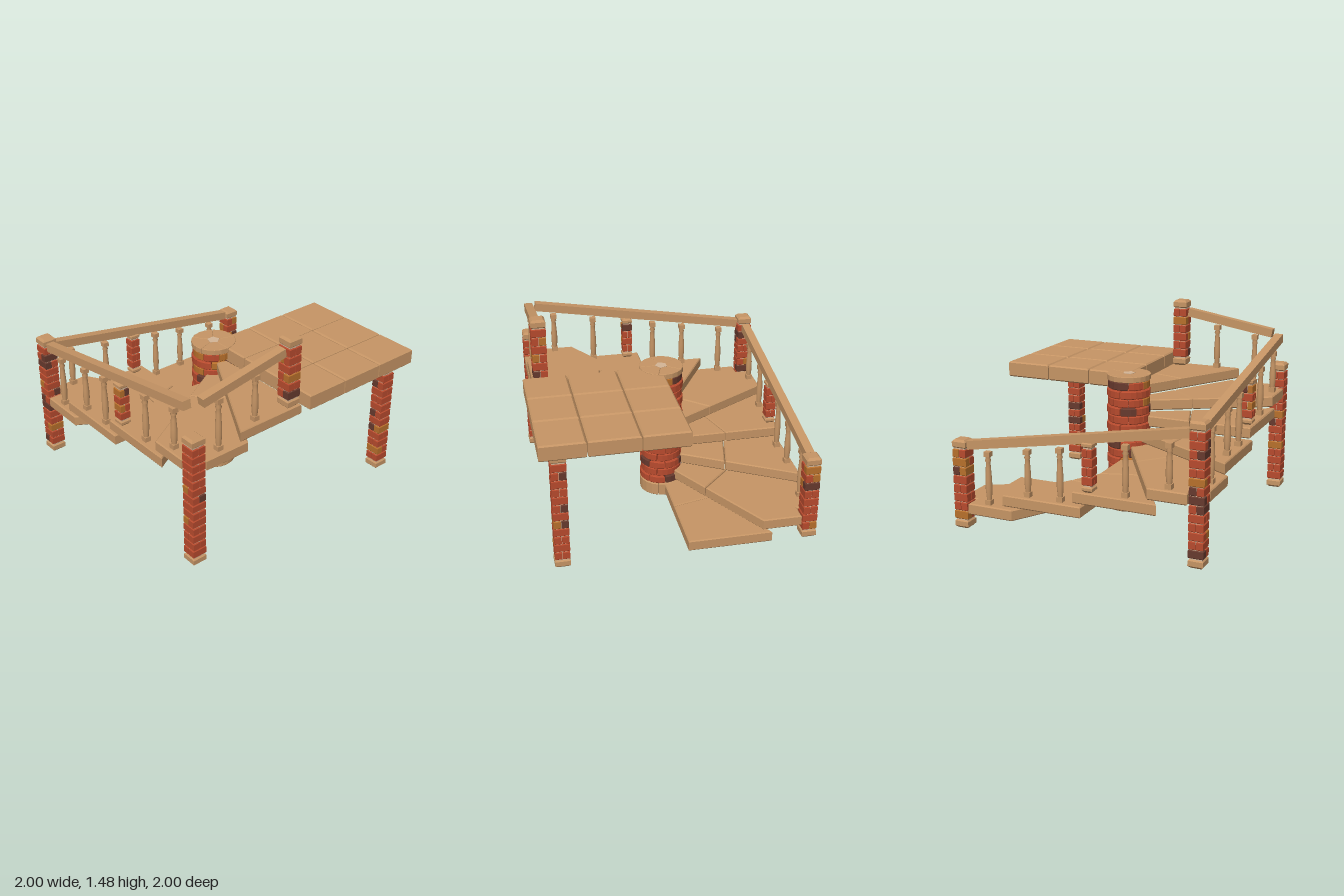
import * as THREE from 'three';

const mat = (name, color) => Object.assign(new THREE.MeshStandardMaterial({ color }), { name });
const wood = mat('tan stone and wood', 0xc69565);
const red = mat('red brick', 0xb84b2e);
const dark = mat('dark brick', 0x673a2e);
const orange = mat('orange brick', 0xb8702c);
const pale = mat('pale mortar', 0xd4b596);
const letters = { R: red, D: dark, O: orange };

let seed = 7;
const rand = () => (seed = (seed * 16807) % 2147483647) / 2147483647;
const brickMat = (darkShare, orangeShare) => {
  const r = rand();
  return r < darkShare ? dark : r < darkShare + orangeShare ? orange : red;
};

const CX = -0.04, CZ = -0.04, HALF = 0.957;

// Chamfered slab from a plan outline of [x, z] points
function slab(parent, name, pts, y, h, material, b = 0.008) {
  const shape = new THREE.Shape(pts.map(([x, z]) => new THREE.Vector2(x, -z)));
  const geo = new THREE.ExtrudeGeometry(shape, {
    depth: h - 2 * b, bevelThickness: b, bevelSize: b, bevelOffset: -b, bevelSegments: 1,
  });
  geo.rotateX(-Math.PI / 2);
  const mesh = new THREE.Mesh(geo, material);
  mesh.name = name;
  mesh.position.y = y + b;
  parent.add(mesh);
}

const rect = (x, z, w, d) => [
  [x - w / 2, z + d / 2], [x + w / 2, z + d / 2], [x + w / 2, z - d / 2], [x - w / 2, z - d / 2],
];

const polar = (a, r) => [CX + r * Math.cos(a), CZ - r * Math.sin(a)];

// Ring sector around the column axis
function sector(a0, a1, r0, r1, n = 4) {
  const pts = [];
  for (let i = 0; i <= n; i++) pts.push(polar(a0 + (a1 - a0) * i / n, r1));
  for (let i = n; i >= 0; i--) pts.push(polar(a0 + (a1 - a0) * i / n, r0));
  return pts;
}

function group(parent, name) {
  const g = new THREE.Group();
  g.name = name;
  parent.add(g);
  return g;
}

// Stacked brick post with a stone foot and cap; one letter per course, from the bottom, colours its outer brick
function post(parent, name, x, z, y0, y1, courses, w = 0.11, cap = 0.068) {
  const g = group(parent, name);
  slab(g, 'foot', rect(x, z, w, w), y0, cap, wood, 0.016);
  slab(g, 'cap', rect(x, z, w, w), y1 - cap, cap, wood, 0.016);
  slab(g, 'mortar', rect(x, z, w - 0.018, w - 0.018), y0 + cap / 2, y1 - y0 - cap, pale, 0.002);
  const pitch = (y1 - y0 - 2 * cap) / courses.length;
  [...courses].forEach((letter, i) => {
    for (const s of [-1, 1]) {
      const o = s * w / 4, t = w / 2 - 0.004;
      const plan = i % 2 ? rect(x + o, z, t, w) : rect(x, z + o, w, t);
      slab(g, 'brick', plan, y0 + cap + i * pitch + 0.002, pitch - 0.004,
        s > 0 ? letters[letter] : brickMat(0.12, 0.13), 0.005);
    }
  });
}

// Central column of curved bricks between stone rings
function column(root) {
  const g = group(root, 'column');
  const ring = (name, y, h, n, offset, gap, r0, r1, pick, b) => {
    const step = Math.PI * 2 / n;
    for (let i = 0; i < n; i++) {
      const a = offset + i * step;
      slab(g, name, sector(a + gap, a + step - gap, r0, r1, Math.ceil(20 / n)), y, h, pick(), b);
    }
  };
  ring('baseStone', 0, 0.1, 5, -Math.PI / 2, 0.008, 0.036, 0.166, () => wood, 0.005);
  ring('capStone', 1.003, 0.043, 5, -Math.PI / 2, 0.003, 0.036, 0.166, () => wood, 0.003);
  const rows = 14, pitch = 0.9 / rows;
  for (let i = 0; i < rows; i++) {
    const pick = () => (i < rows - 2 ? brickMat(0.13, 0.04) : brickMat(0.1, 0.45));
    ring('brick', 0.103 + i * pitch + 0.002, pitch - 0.005, 8, i % 2 ? 0.39 : 0, 0.02, 0.06,
      i % 2 ? 0.158 : 0.165, pick, 0.006);
  }
  const core = new THREE.Mesh(new THREE.CylinderGeometry(0.048, 0.048, 1.045, 5), pale);
  core.name = 'columnCore';
  core.position.set(CX, 0.5255, CZ);
  g.add(core);
}

// Point where a ray from the axis meets the square outer edge
function rim(a) {
  return polar(a, HALF / Math.max(Math.abs(Math.cos(a)), Math.abs(Math.sin(a))));
}

// Nine winding steps, each an inner and an outer slab
function steps(root) {
  const g = group(root, 'steps');
  const joint = [0.48, 0.505, 0.52, 0.522, 0.526, 0.52, 0.49, 0.487, 0.49, 0.497];
  for (let i = 0; i < 9; i++) {
    const a0 = i * Math.PI / 6, a1 = a0 + Math.PI / 6, y = 0.013 + i * 0.1053, h = 0.083;
    const lap = i < 8 ? 0.06 : 0, r0 = joint[i], r1 = joint[i + 1], gap = 0.0035;
    const under = ([x, z]) => [x - Math.sin(a1) * lap, z - Math.cos(a1) * lap];
    const s = group(g, 'step');
    slab(s, 'innerTread', [polar(a0, 0.155), polar(a0, r0 - gap), under(polar(a1, r1 - gap)),
      under(polar(a1, 0.155))], y, h, wood, 0.008);
    // outer edge stays on the square, sliding along it under the next step
    const end = rim(a1);
    const slide = lap / Math.max(Math.abs(Math.cos(a1)), Math.abs(Math.sin(a1)));
    if (Math.abs(Math.cos(a1)) > Math.abs(Math.sin(a1))) end[1] -= Math.sign(Math.cos(a1)) * slide;
    else end[0] -= Math.sign(Math.sin(a1)) * slide;
    const outer = [polar(a0, r0 + gap), rim(a0)];
    if (i % 3 === 1) {
      // notch around the corner post
      const am = (a0 + a1) / 2, sx = Math.sign(Math.cos(am)), sz = -Math.sign(Math.sin(am));
      const X = CX + sx * HALF, Z = CZ + sz * HALF, n = 0.118;
      const corner = [[X, Z - sz * n], [X - sx * n, Z - sz * n], [X - sx * n, Z]];
      if (sx * sz > 0) corner.reverse();
      outer.push(...corner);
    }
    outer.push(end, under(polar(a1, r1 + gap)));
    slab(s, 'outerTread', outer, y, h, wood, 0.008);
  }
}

// Landing of nine square tiles
function landing(root) {
  const g = group(root, 'landing');
  const xs = [-0.038, 0.3, 0.648, 1.003], zs = [-0.038, 0.305, 0.674, 1.003], gap = 0.008;
  for (let i = 0; i < 3; i++) {
    for (let j = 0; j < 3; j++) {
      slab(g, 'tile', rect((xs[i] + xs[i + 1]) / 2, (zs[j] + zs[j + 1]) / 2,
        xs[i + 1] - xs[i] - gap, zs[j + 1] - zs[j] - gap), 0.92, 0.12, wood, 0.01);
    }
  }
}

// Sloping handrail between two points
function rail(root, name, a, b) {
  const p = new THREE.Vector3(...a), q = new THREE.Vector3(...b);
  const mesh = new THREE.Mesh(new THREE.BoxGeometry(0.064, 0.064, p.distanceTo(q)), wood);
  mesh.name = name;
  mesh.position.copy(p).lerp(q, 0.5);
  mesh.lookAt(q);
  root.add(mesh);
}

// Turned baluster with square ends
function baluster(root, x, z, y0, y1) {
  const g = group(root, 'baluster'), h = y1 - y0;
  for (const y of [y0 + 0.018, y1 - 0.018]) {
    const block = new THREE.Mesh(new THREE.BoxGeometry(0.046, 0.036, 0.046), wood);
    block.name = 'balusterBlock';
    block.position.set(x, y, z);
    g.add(block);
  }
  const profile = [[0.018, 0.09], [0.02, 0.14], [0.025, 0.3], [0.024, 0.48], [0.019, 0.7], [0.017, 0.8],
    [0.023, 0.83], [0.017, 0.87], [0.022, 0.92]];
  const shaft = new THREE.Mesh(
    new THREE.LatheGeometry(profile.map(([r, t]) => new THREE.Vector2(r, t * h)), 10), wood);
  shaft.name = 'balusterShaft';
  shaft.position.set(x, y0, z);
  g.add(shaft);
}

export function createModel() {
  const root = new THREE.Group();
  root.name = 'windingStaircase';
  column(root);
  steps(root);
  landing(root);

  post(root, 'landingPost', 0.861, 0.863, 0.003, 0.91, 'RRRRORRRRRRR');
  post(root, 'backRightPost', 0.861, -0.944, 0.003, 0.67, 'RRRRRDRO');
  post(root, 'backLeftPost', -0.944, -0.944, 0.003, 1.01, 'RRORRRRDRRRRDR');
  post(root, 'frontLeftPost', -0.944, 0.863, 0.003, 1.03, 'RRRRRRRDRRRRRR');
  post(root, 'upperPost', -0.113, 0.863, 0.94, 1.475, 'DRORRR');
  post(root, 'backMiddlePost', -0.15, -0.948, 0.413, 0.775, 'RRRR', 0.08, 0.05);
  post(root, 'leftMiddlePost', -0.948, 0.06, 0.728, 1.075, 'RRRD', 0.08, 0.05);

  rail(root, 'backRail', [-0.885, 0.922, -0.948], [0.805, 0.632, -0.948]);
  rail(root, 'leftRail', [-0.948, 0.95, -0.88], [-0.948, 1.236, 0.805]);
  rail(root, 'frontRail', [-0.88, 1.258, 0.862], [-0.178, 1.378, 0.862]);

  const backY = x => 0.74 - 0.1716 * x, leftY = z => 1.07 + 0.17 * z, frontY = x => 1.378 + 0.171 * (x + 0.178);
  for (const [x, y] of [[-0.735, 0.518], [-0.42, 0.413], [0.075, 0.308], [0.33, 0.308], [0.65, 0.203]])
    baluster(root, x, -0.948, y, backY(x) - 0.03);
  for (const [z, y] of [[-0.73, 0.518], [-0.41, 0.623], [-0.16, 0.623], [0.34, 0.728], [0.66, 0.834]])
    baluster(root, -0.948, z, y, leftY(z) - 0.03);
  for (const [x, y] of [[-0.735, 0.834], [-0.42, 0.939]])
    baluster(root, x, 0.862, y, frontY(x) - 0.05);

  return root;
}
